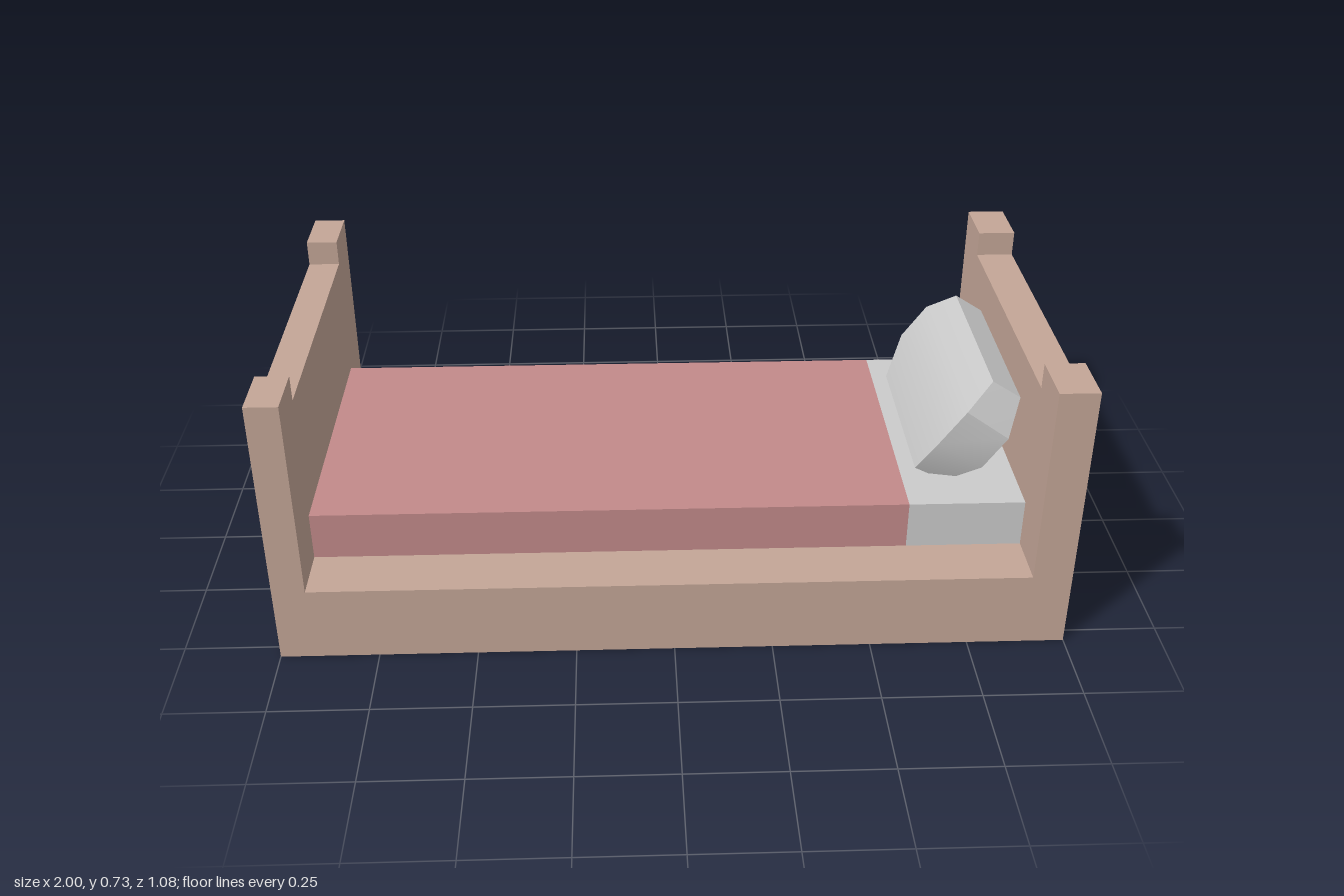
import * as THREE from 'three';
import { toCreasedNormals } from 'three/addons/utils/BufferGeometryUtils.js';
import { ConvexGeometry } from 'three/addons/geometries/ConvexGeometry.js';

export function createModel() {
  const bed = new THREE.Group();
  bed.name = 'bed';
  const wood = new THREE.MeshStandardMaterial({ color: 0xc4a697 });
  const red = new THREE.MeshStandardMaterial({ color: 0xc28a8a });
  const grey = new THREE.MeshStandardMaterial({ color: 0xcccccc });

  function add(name, geometry, material) {
    const mesh = new THREE.Mesh(geometry, material);
    mesh.name = name;
    bed.add(mesh);
  }

  // Box given by its extents on each axis
  function box(name, [x0, x1], [y0, y1], [z0, z1], material) {
    const geometry = new THREE.BoxGeometry(x1 - x0, y1 - y0, z1 - z0);
    geometry.translate((x0 + x1) / 2, (y0 + y1) / 2, (z0 + z1) / 2);
    add(name, geometry, material);
  }

  // End board with a raised block at each corner; outline runs across the bed's width
  function endBoard(name, x0, x1) {
    const outline = [
      [-0.54, 0], [0.54, 0], [0.54, 0.73], [0.385, 0.73],
      [0.385, 0.663], [-0.392, 0.663], [-0.392, 0.73], [-0.54, 0.73],
    ];
    const shape = new THREE.Shape(outline.map(([s, y]) => new THREE.Vector2(s, y)));
    const geometry = new THREE.ExtrudeGeometry(shape, { depth: x1 - x0, bevelEnabled: false });
    geometry.rotateY(Math.PI / 2).translate(x0, 0, 0);
    add(name, geometry, wood);
  }

  // Frame
  box('base', [-0.917, 0.9], [0, 0.2], [-0.54, 0.54], wood);
  endBoard('footboard', -1, -0.917);
  endBoard('headboard', 0.9, 1);

  // Bedding
  const width = [-0.385, 0.39];
  box('blanket', [-0.917, 0.603], [0.2, 0.327], width, red);
  box('sheet', [0.603, 0.9], [0.2, 0.327], width, grey);

  // Pillow leaning on the headboard: x, y and half length of each long edge
  const profile = [
    [0.64, 0.345, 0.248], [0.685, 0.45, 0.3], [0.75, 0.54, 0.3], [0.82, 0.6, 0.248],
    [0.895, 0.552, 0.248], [0.863, 0.46, 0.3], [0.803, 0.375, 0.3], [0.72, 0.305, 0.248],
  ];
  const corners = profile.flatMap(([x, y, half]) =>
    [-1, 1].map((side) => new THREE.Vector3(x, y, side * half - 0.004)));
  add('pillow', toCreasedNormals(new ConvexGeometry(corners), 0.5), grey);

  return bed;
}
